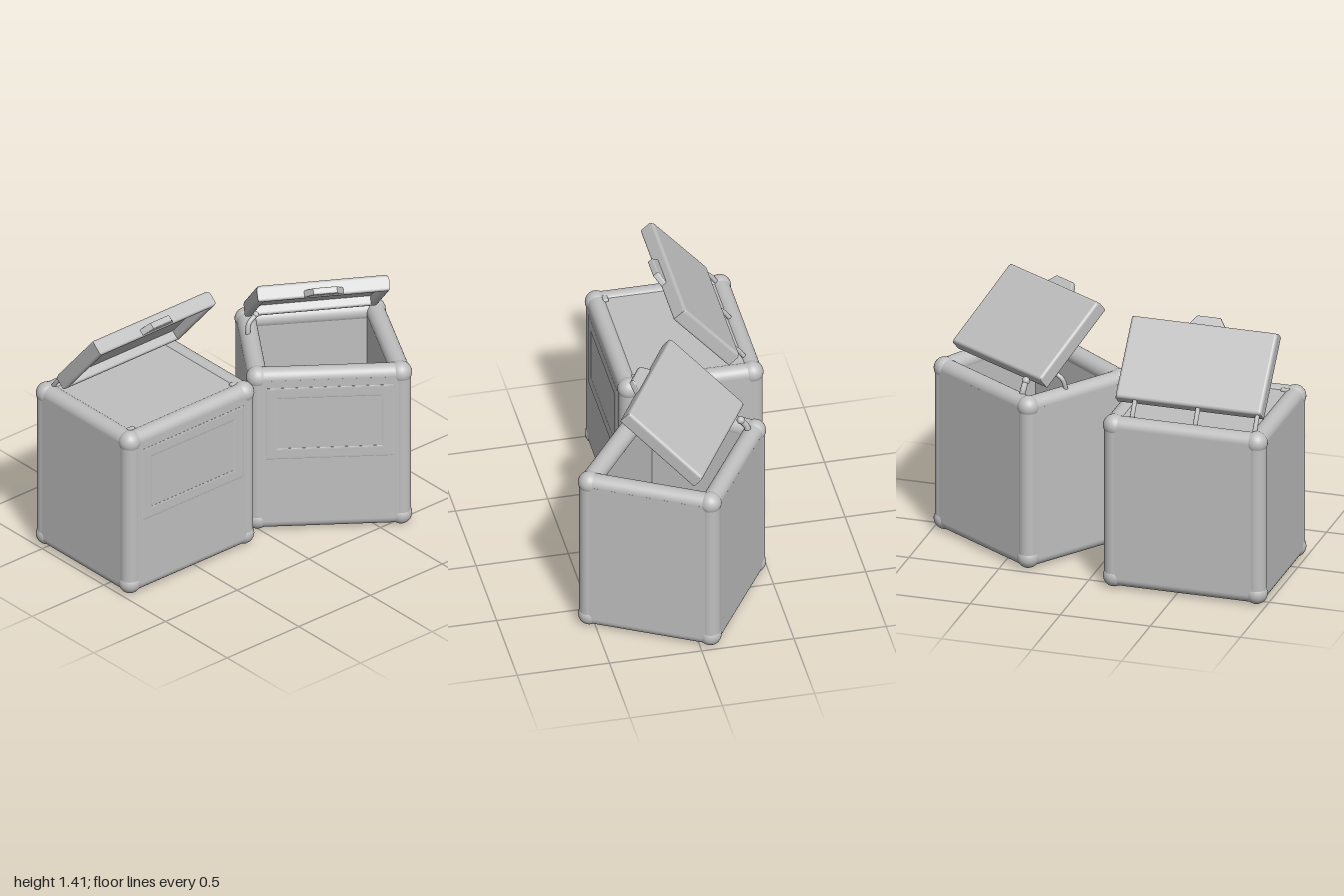
import * as THREE from 'three';
import { RoundedBoxGeometry } from 'three/addons/geometries/RoundedBoxGeometry.js';

const grey = new THREE.MeshStandardMaterial({ color: 0xbfbfbf });
grey.name = 'plain grey';

function add(parent, name, geometry) {
  const mesh = new THREE.Mesh(geometry, grey);
  mesh.name = name;
  parent.add(mesh);
  return mesh;
}

// Round bar between two points
function bar(parent, name, a, b, radius) {
  const dir = b.clone().sub(a);
  const mesh = add(parent, name, new THREE.CylinderGeometry(radius, radius, dir.length(), 32));
  mesh.position.copy(a).add(b).multiplyScalar(0.5);
  mesh.quaternion.setFromUnitVectors(new THREE.Vector3(0, 1, 0), dir.normalize());
}

// Bent hinge arm through a few points
function arm(parent, points, radius = 0.013) {
  const v = points.map(p => new THREE.Vector3(...p));
  add(parent, 'hingeArm', new THREE.TubeGeometry(new THREE.CatmullRomCurve3(v), 12, radius, 8));
  for (const p of [v[0], v[v.length - 1]]) {
    add(parent, 'hingeKnob', new THREE.SphereGeometry(radius * 1.3, 12, 8)).position.copy(p);
  }
}

// Floor plan (x, z) shrunk about its middle
function scaled(corners, f) {
  const cx = corners.reduce((s, c) => s + c[0], 0) / 4;
  const cz = corners.reduce((s, c) => s + c[1], 0) / 4;
  return corners.map(([x, z]) => [cx + (x - cx) * f, cz + (z - cz) * f]);
}

// Floor plan with each side pushed outwards, leaving cut corners for the upright bars
function padded(corners, d) {
  return corners.flatMap(([x, z], i) => {
    const [nx, nz] = corners[(i + 1) % 4];
    const len = Math.hypot(nx - x, nz - z);
    const ox = -(nz - z) / len * d, oz = (nx - x) / len * d;
    return [[x + ox, z + oz], [nx + ox, nz + oz]];
  });
}

// Upright prism over a floor plan, with an optional opening
function prism(plan, hole, y0, y1) {
  const points = p => p.map(([x, z]) => new THREE.Vector2(x, -z));
  const shape = new THREE.Shape(points(plan));
  if (hole) shape.holes.push(new THREE.Path(points(hole)));
  const g = new THREE.ExtrudeGeometry(shape, { depth: y1 - y0, bevelEnabled: false });
  return g.rotateX(-Math.PI / 2).translate(0, y0, 0);
}

function rectangle(Type, w, h) {
  return new Type([[-w, -h], [w, -h], [w, h], [-w, h]].map(([x, y]) => new THREE.Vector2(x / 2, y / 2)));
}

// Box with rounded edges and corner balls; corners run front left to front right to back
function makeBin(name, corners, hollow) {
  const bin = new THREE.Group();
  bin.name = name;
  const low = 0.06, high = 0.922, pad = 0.052;
  const outer = padded(corners, pad);
  add(bin, 'walls', prism(outer, hollow ? scaled(corners, 0.86) : null, low, high));
  add(bin, 'base', prism(corners, null, low - pad, 0.1));
  if (!hollow) add(bin, 'closedTop', prism(corners, null, 0.9, 0.96));

  // Edge bars and corner balls
  corners.forEach(([x, z], i) => {
    const [nx, nz] = corners[(i + 1) % 4];
    for (const y of [low, high]) {
      bar(bin, 'edgeBar', new THREE.Vector3(x, y, z), new THREE.Vector3(nx, y, nz), pad);
      add(bin, 'cornerBall', new THREE.SphereGeometry(0.06, 24, 16)).position.set(x, y, z);
    }
    bar(bin, 'uprightBar', new THREE.Vector3(x, low, z), new THREE.Vector3(x, high, z), pad + 0.002);
  });

  // Thin raised frame on the front face
  const [[ax, az], [bx, bz]] = outer;
  const width = Math.hypot(bx - ax, bz - az);
  const front = new THREE.Group();
  front.name = 'frontPanel';
  front.position.set((ax + bx) / 2, 0.66, (az + bz) / 2);
  front.rotation.y = -Math.atan2(bz - az, bx - ax);
  const frame = rectangle(THREE.Shape, width * 0.86, 0.41);
  frame.holes.push(rectangle(THREE.Path, width * 0.76, 0.33));
  add(front, 'panelFrame', new THREE.ExtrudeGeometry(frame, {
    depth: 0.001, bevelThickness: 0.002, bevelSize: 0.012, bevelSegments: 2,
  }));
  bin.add(front);
  return bin;
}

// Tilted lid: rounded cover, deep rim and a catch on the underside
function makeLid(width, length, position, tilt, yaw) {
  const lid = new THREE.Group();
  lid.name = 'lid';
  const t = 0.086, b = 0.012;
  const rim = rectangle(THREE.Shape, width - 2 * b, length - 2 * b);
  rim.holes.push(rectangle(THREE.Path, width - 0.05, length - 0.05));
  const rimGeo = new THREE.ExtrudeGeometry(rim, {
    depth: t - 2 * b - 0.008, bevelThickness: b, bevelSize: b, bevelSegments: 4,
  });
  add(lid, 'lidRim', rimGeo.rotateX(-Math.PI / 2).translate(0, -t / 2 + b, 0));
  const cover = add(lid, 'lidCover', new RoundedBoxGeometry(width, 0.036, length, 4, 0.017));
  cover.position.y = t / 2 - 0.018;

  const catchShape = new THREE.Shape([[-0.12, 0], [-0.06, -0.08], [0.06, -0.08], [0.12, 0]]
    .map(p => new THREE.Vector2(...p)));
  const catchGeo = new THREE.ExtrudeGeometry(catchShape, {
    depth: 0.02, bevelThickness: 0.008, bevelSize: 0.008, bevelSegments: 3,
  });
  const clasp = add(lid, 'lidCatch', catchGeo.rotateX(Math.PI / 2));
  // The catch narrows away from the front edge
  clasp.rotation.y = Math.PI;
  clasp.rotation.z = Math.PI;
  clasp.position.set(0, -0.012, length / 2 - 0.03);
  clasp.rotation.set(0, Math.PI, 0);

  lid.rotation.order = 'YXZ';
  lid.rotation.set(tilt, yaw, 0);
  lid.position.set(...position);
  return lid;
}

export function createModel() {
  const model = new THREE.Group();
  model.name = 'twoLiddedBins';

  // Straight bin with a closed top
  const straight = makeBin('straightBin',
    [[-0.94, 0.14], [-0.15, 0.14], [-0.15, -0.53], [-0.94, -0.53]], false);
  straight.add(makeLid(0.81, 0.46, [-0.535, 1.2, -0.28], -0.865, 0));
  for (const x of [-0.92, -0.59, -0.24]) {
    arm(straight, [[x, 0.955, -0.51], [x, 1.0, -0.48], [x + 0.005, 1.05, -0.43]]);
  }
  for (const x of [-0.9, -0.18]) {
    add(straight, 'cornerClip', new RoundedBoxGeometry(0.05, 0.02, 0.03, 2, 0.008)).position.set(x, 0.963, 0.1);
  }
  model.add(straight);

  // Turned, open bin
  const turned = makeBin('turnedBin',
    [[0.01, 0.07], [0.62, 0.525], [0.94, -0.06], [0.36, -0.43]], true);
  turned.add(makeLid(0.71, 0.53, [0.492, 1.2, -0.008], -0.68, -0.54));
  arm(turned, [[0.21, 0.955, -0.24], [0.225, 1.02, -0.25], [0.275, 1.06, -0.25]]);
  arm(turned, [[0.41, 0.955, -0.385], [0.405, 0.99, -0.375], [0.4, 1.03, -0.345]], 0.017);
  model.add(turned);
  return model;
}
